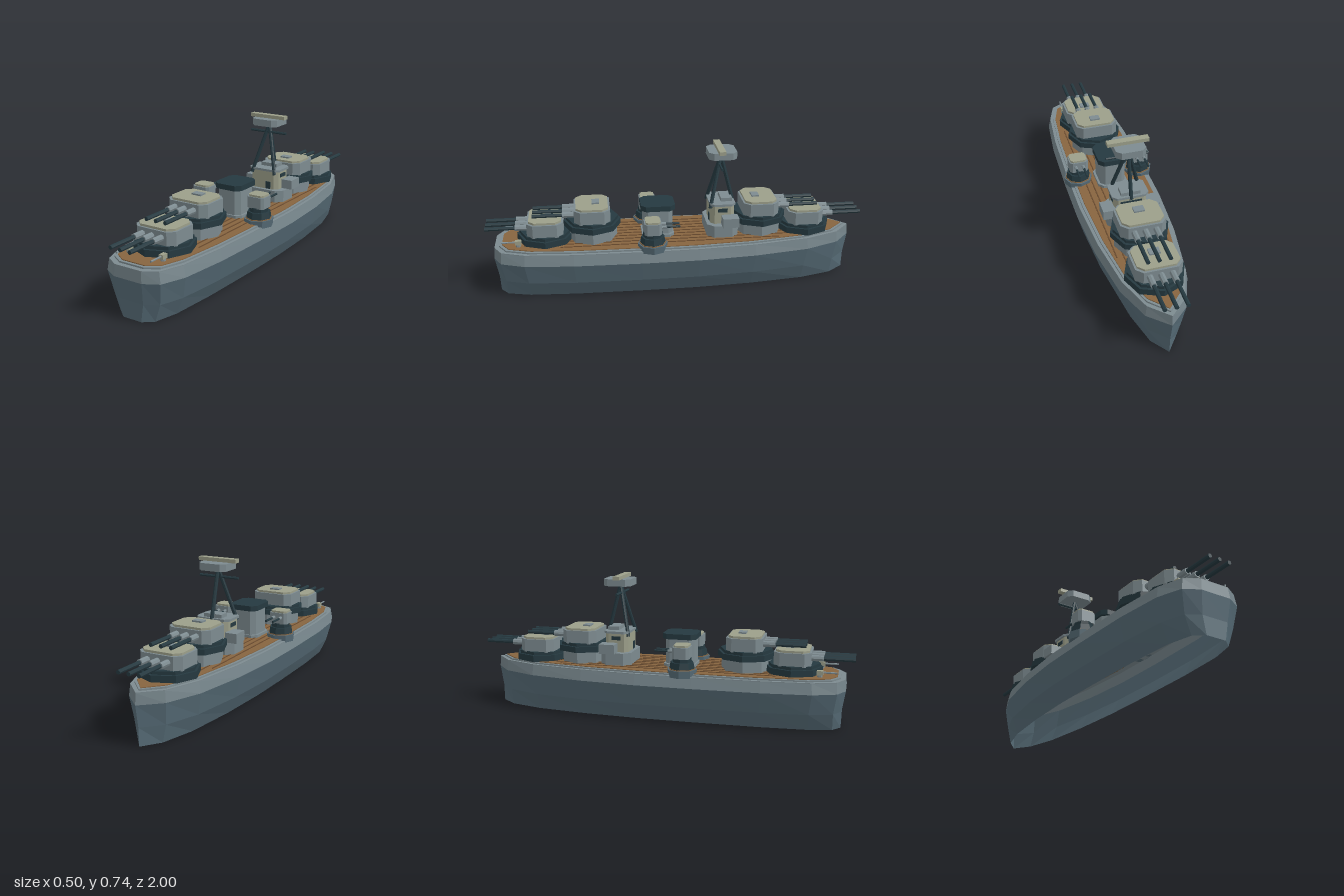
import * as THREE from 'three';

const mat = (name, color, side = THREE.FrontSide) => {
  const m = new THREE.MeshStandardMaterial({ color, side });
  m.name = name;
  return m;
};

// Half outline of the ship seen from above, bow to stern: [x, z]
const HALF = [[0, -0.96], [0.1, -0.87], [0.17, -0.69], [0.215, -0.4], [0.235, -0.1],
  [0.235, 0.2], [0.225, 0.55], [0.2, 0.8], [0.155, 0.92], [0.08, 0.96]];
const OUTLINE = [...HALF, ...HALF.slice(1).reverse().map(([x, z]) => [-x, z])];
const scaled = (sx, sz) => OUTLINE.map(([x, z]) => [x * sx, z * sz]);

// Rectangle with cut corners
const chamfered = (w, d, c) => [[w, d - c], [w - c, d], [c - w, d], [-w, d - c],
  [-w, c - d], [c - w, -d], [w - c, -d], [w, c - d]];

const toShape = (pts) => new THREE.Shape(pts.map(([x, z]) => new THREE.Vector2(x, -z)));

// Plate with the given plan outline between two heights
function slab(pts, y0, y1, hole) {
  const shape = toShape(pts);
  if (hole) shape.holes.push(toShape(hole));
  const g = new THREE.ExtrudeGeometry(shape, { depth: y1 - y0, bevelEnabled: false });
  return g.rotateX(-Math.PI / 2).translate(0, y0, 0);
}

function drum(r0, r1, y0, y1, sides = 8) {
  return new THREE.CylinderGeometry(r1, r0, y1 - y0, sides).translate(0, (y0 + y1) / 2, 0);
}

const box = (w, h, d, x, y, z) => new THREE.BoxGeometry(w, h, d).translate(x, y, z);

function rod(a, b, r, sides = 8) {
  const p = new THREE.Vector3(...a), q = new THREE.Vector3(...b);
  const g = new THREE.CylinderGeometry(r, r, p.distanceTo(q), sides);
  const turn = new THREE.Quaternion().setFromUnitVectors(
    new THREE.Vector3(0, 1, 0), q.clone().sub(p).normalize());
  const mid = p.add(q).multiplyScalar(0.5);
  return g.applyQuaternion(turn).translate(mid.x, mid.y, mid.z);
}

// Band of hull skin between two plan outlines
function hullBand(levels) {
  const pos = [];
  for (let i = 0; i < levels.length - 1; i++) {
    const [y0, ax, az] = levels[i], [y1, bx, bz] = levels[i + 1];
    const lo = scaled(ax, az).map(([x, z]) => [x, y0, z]);
    const hi = scaled(bx, bz).map(([x, z]) => [x, y1, z]);
    lo.forEach((a, j) => {
      const k = (j + 1) % lo.length;
      pos.push(...a, ...hi[j], ...hi[k], ...a, ...hi[k], ...lo[k]);
    });
  }
  const g = new THREE.BufferGeometry();
  g.setAttribute('position', new THREE.Float32BufferAttribute(pos, 3));
  return g;
}

export function createModel() {
  const hullBlue = mat('hullBlue', 0x566b76, THREE.DoubleSide);
  const hullGrey = mat('hullGrey', 0x75848a, THREE.DoubleSide);
  const grey = mat('grey', 0x7d8b90);
  const dark = mat('darkSteel', 0x253940);
  const khaki = mat('khaki', 0x9c9f8a);
  const wood = mat('deckWood', 0x87643f);
  const plank = mat('plankSeam', 0x684a2e);

  const ship = new THREE.Group();
  ship.name = 'warship';
  const add = (parent, name, geo, material) => {
    const g = geo.index ? geo.toNonIndexed() : geo;
    g.computeVertexNormals();
    const m = new THREE.Mesh(g, material);
    m.name = name;
    parent.add(m);
    return m;
  };
  const group = (name, x, z, turned) => {
    const g = new THREE.Group();
    g.name = name;
    g.position.set(x, 0, z);
    if (turned) g.rotation.y = Math.PI;
    ship.add(g);
    return g;
  };

  // Hull, open underneath, and deck
  add(ship, 'lowerHull', hullBand([[0, 0.66, 0.98], [0.09, 0.87, 0.982], [0.2, 1, 1]]), hullBlue);
  add(ship, 'upperHull', hullBand([[0.2, 1, 1], [0.255, 0.94, 0.995]]), hullGrey);
  add(ship, 'deckMargin', slab(scaled(0.94, 0.995), 0.25, 0.258, scaled(0.8, 0.95)), grey);
  add(ship, 'coaming', slab(scaled(0.87, 0.97), 0.255, 0.266, scaled(0.8, 0.95)), grey);
  add(ship, 'deck', slab(scaled(0.81, 0.955), 0.25, 0.27), wood);
  for (const x of [-0.14, -0.105, -0.07, -0.035, 0, 0.035, 0.07, 0.105, 0.14]) {
    add(ship, 'plankSeam', box(0.006, 0.003, Math.abs(x) > 0.12 ? 1.15 : 1.4, x, 0.271, 0.04), plank);
  }

  // Main turrets; the raised ones stand on a tall base
  for (const [name, z, raised, turned] of [
    ['sternLowTurret', 0.69, 0, false], ['sternHighTurret', 0.445, 1, false],
    ['bowHighTurret', -0.445, 1, true], ['bowLowTurret', -0.69, 0, true]]) {
    const t = group(name, 0, z, turned);
    const y = raised ? 0.375 : 0.315;
    if (raised) add(t, 'barbette', drum(0.13, 0.13, 0.265, 0.335), grey);
    add(t, 'turretRing', drum(0.15, 0.15, raised ? 0.332 : 0.268, y - 0.012), dark);
    add(t, 'turretCollar', drum(0.137, 0.137, y - 0.014, y + 0.004), dark);
    add(t, 'turretBody', slab(chamfered(0.116, 0.094, 0.032), y, y + 0.07), grey);
    add(t, 'turretRoof', slab(chamfered(0.106, 0.084, 0.03), y + 0.07, y + 0.081), khaki);
    add(t, 'turretHatch', box(0.055, 0.008, 0.04, 0, y + 0.085, -0.02), grey);
    for (const x of [-0.055, 0, 0.055]) {
      add(t, 'gunSleeve', rod([x, y + 0.04, 0.09], [x, y + 0.04, 0.155], 0.016), grey);
      add(t, 'gunBarrel', rod([x, y + 0.04, 0.15], [x, y + 0.04, 0.31], 0.0105), dark);
    }
  }

  // Bridge
  const bridge = group('bridge', 0, -0.24);
  add(bridge, 'bridgeBase', slab(chamfered(0.12, 0.083, 0.035), 0.265, 0.335), grey);
  add(bridge, 'bridgeTower', slab(chamfered(0.085, 0.063, 0.02), 0.335, 0.435), khaki);
  add(bridge, 'bridgeRoof', slab(chamfered(0.095, 0.068, 0.022), 0.435, 0.447), grey);
  add(bridge, 'bridgeTopBlock', box(0.1, 0.02, 0.06, 0, 0.456, -0.025), grey);
  for (const s of [-1, 1]) {
    add(bridge, 'bridgeWing', box(0.065, 0.05, 0.085, s * 0.115, 0.36, -0.035), grey);
    add(bridge, 'bridgeSideWindow', box(0.005, 0.02, 0.05, s * 0.086, 0.41, 0), dark);
  }
  add(bridge, 'bridgeRearDoor', box(0.03, 0.04, 0.005, 0.03, 0.357, 0.064), dark);
  add(bridge, 'bridgeFrontWindow', box(0.11, 0.018, 0.005, 0, 0.41, -0.064), dark);

  // Tripod mast with lookout top
  for (const foot of [[-0.072, 0.42, 0.065], [0.072, 0.42, 0.065], [0, 0.43, -0.066]]) {
    add(bridge, 'mastLeg', rod(foot, [0, 0.69, 0.002], 0.01), dark);
  }
  add(bridge, 'mastYard', rod([-0.11, 0.645, 0.012], [0.11, 0.645, 0.012], 0.007, 6), dark);
  add(bridge, 'lookoutTop', slab(chamfered(0.076, 0.074, 0.024), 0.685, 0.722), grey);
  add(bridge, 'rangefinder', box(0.212, 0.019, 0.035, 0, 0.731, 0.01), khaki);

  // Funnel
  const funnel = group('funnel', 0, 0.1);
  add(funnel, 'funnelFoot', slab(chamfered(0.08, 0.085, 0.025), 0.265, 0.285), grey);
  add(funnel, 'funnelBody', slab(chamfered(0.068, 0.077, 0.024), 0.285, 0.42), grey);
  add(funnel, 'funnelCap', slab(chamfered(0.08, 0.09, 0.026), 0.418, 0.446), dark);

  // Side turrets on sponsons
  for (const s of [-1, 1]) {
    const t = group(s > 0 ? 'leftSideTurret' : 'rightSideTurret', s * 0.17, 0.14);
    add(t, 'sponson', drum(0.074, 0.078, 0.25, 0.288), hullBlue);
    add(t, 'sponsonDeck', drum(0.07, 0.07, 0.286, 0.292), wood);
    add(t, 'sideTurretRing', drum(0.066, 0.06, 0.29, 0.325), dark);
    add(t, 'sideTurretCollar', drum(0.05, 0.05, 0.325, 0.348), dark);
    add(t, 'sideTurretBody', slab(chamfered(0.05, 0.044, 0.014), 0.345, 0.405), grey);
    add(t, 'sideTurretRoof', slab(chamfered(0.044, 0.038, 0.012), 0.405, 0.415), khaki);
    for (const x of [-0.02, 0.02]) {
      add(t, 'sideGunSleeve', rod([x, 0.38, -0.04], [x, 0.38, -0.07], 0.009), grey);
      add(t, 'sideGunBarrel', rod([x, 0.38, -0.065], [x, 0.38, -0.14], 0.006), dark);
    }
    // Small deck gun near the stern
    const g = group('deckGun', s * 0.1, 0.83);
    add(g, 'deckGunPost', drum(0.014, 0.012, 0.265, 0.285, 6), grey);
    add(g, 'deckGunBody', box(0.024, 0.022, 0.032, 0, 0.292, 0), khaki);
    add(g, 'deckGunBarrel', rod([0, 0.294, 0.01], [0, 0.294, 0.085], 0.005, 6), grey);
  }
  return ship;
}
